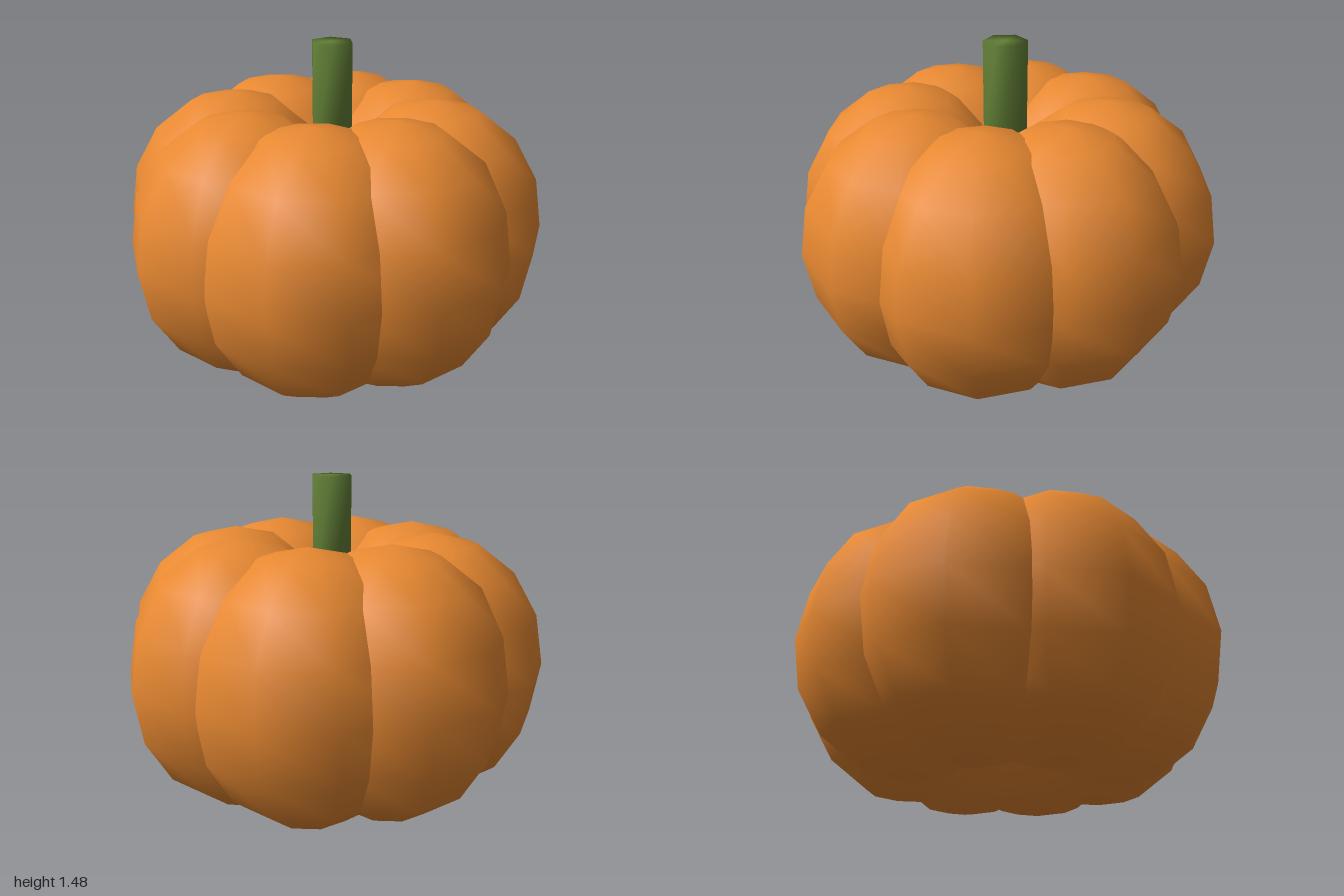
import * as THREE from 'three';
import { mergeVertices } from 'three/addons/utils/BufferGeometryUtils.js';

const LOBES = 8;
const RADIUS = 0.53;       // horizontal radius of a lobe
const HALF_HEIGHT = 0.615; // vertical radius of a lobe
const RING = 0.47;         // distance of lobe centres from the axis

export function createModel() {
  const pumpkin = new THREE.Group();
  pumpkin.name = 'pumpkin';
  const skin = new THREE.MeshStandardMaterial({ color: 0xe88932 });
  const green = new THREE.MeshStandardMaterial({ color: 0x648237 });

  // Body: a ring of overlapping ellipsoid lobes, all facing the same way
  const lobeGeometry = new THREE.SphereGeometry(RADIUS, 10, 8, Math.PI / 2);
  lobeGeometry.scale(1, HALF_HEIGHT / RADIUS, 1);
  const body = new THREE.Group();
  body.name = 'body';
  for (let i = 0; i < LOBES; i++) {
    const angle = (i / LOBES) * Math.PI * 2;
    const lobe = new THREE.Mesh(lobeGeometry, skin);
    lobe.name = `lobe${i + 1}`;
    lobe.position.set(RING * Math.sin(angle), HALF_HEIGHT, RING * Math.cos(angle));
    body.add(lobe);
  }
  pumpkin.add(body);

  // Stem: six-sided post with normals smoothed over its rims
  const post = new THREE.CylinderGeometry(0.1, 0.1, 0.5, 6);
  post.deleteAttribute('normal');
  post.deleteAttribute('uv');
  const stemGeometry = mergeVertices(post);
  stemGeometry.computeVertexNormals();
  const stem = new THREE.Mesh(stemGeometry, green);
  stem.name = 'stem';
  stem.position.y = 1.23;
  pumpkin.add(stem);

  return pumpkin;
}
